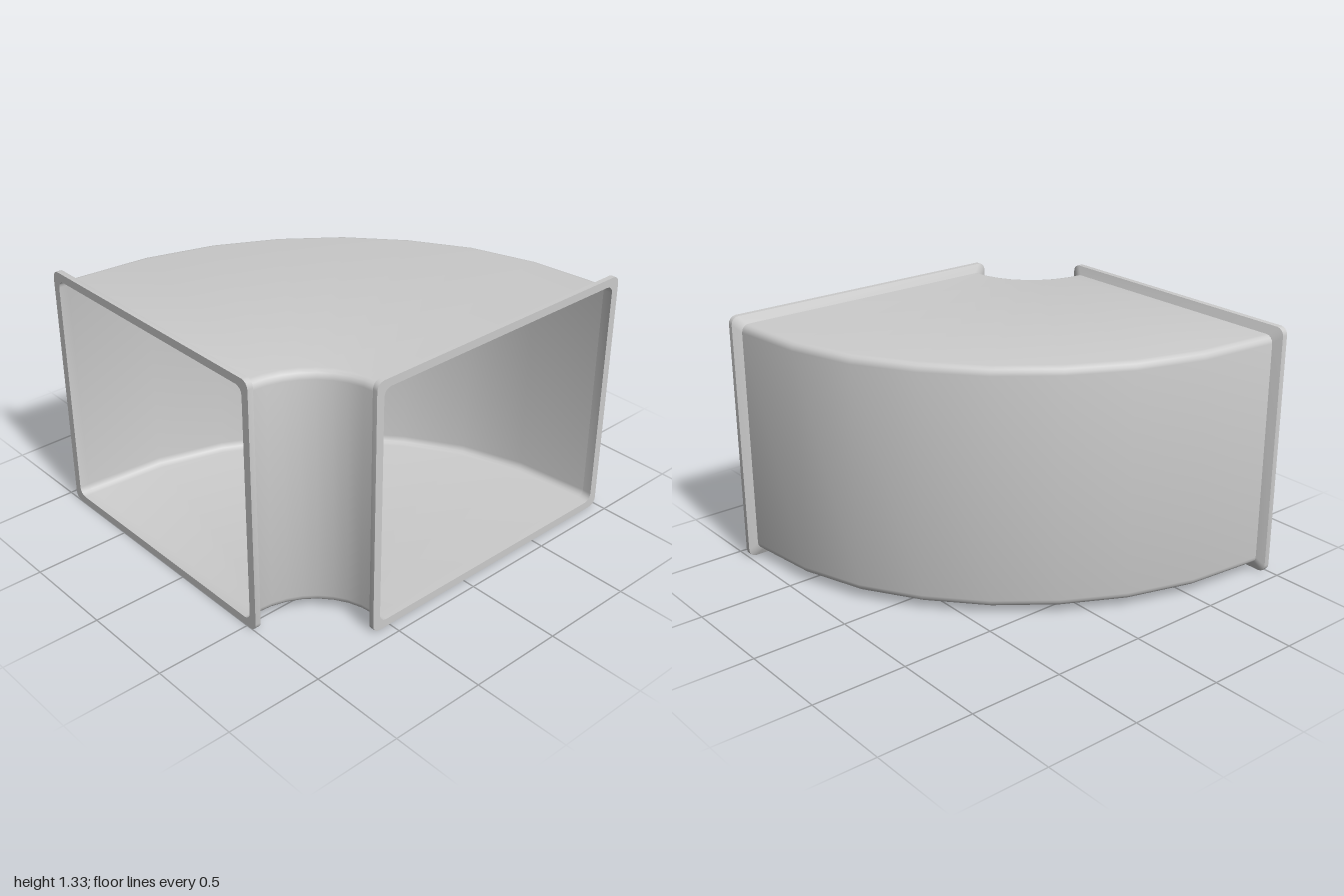
import * as THREE from 'three';
import { toCreasedNormals } from 'three/addons/utils/BufferGeometryUtils.js';

const Y0 = 0.042, Y1 = 1.283; // duct floor and ceiling
const R = 0.04, CORNER = 4;   // corner radius and segments
const LIP = 0.042;            // how far the flange stands out

// Rounded rectangle standing between two plan points [x, z], enlarged by grow
function ring([ax, az], [bx, bz], grow = 0) {
  const len = Math.hypot(bx - ax, bz - az);
  const dx = (bx - ax) / len, dz = (bz - az) / len;
  const centres = [
    [len + grow - R, Y1 + grow - R], [R - grow, Y1 + grow - R],
    [R - grow, Y0 - grow + R], [len + grow - R, Y0 - grow + R],
  ];
  const points = [];
  centres.forEach(([u, y], c) => {
    for (let k = 0; k <= CORNER; k++) {
      const a = (c + k / CORNER) * Math.PI / 2;
      const s = u + R * Math.cos(a);
      points.push([ax + dx * s, y + R * Math.sin(a), az + dz * s]);
    }
  });
  return points;
}

// Skin a row of rings
function loft(name, rings) {
  const n = rings[0].length, index = [];
  for (let i = 0; i < rings.length - 1; i++) {
    for (let j = 0; j < n; j++) {
      const a = i * n + j, a1 = i * n + (j + 1) % n;
      index.push(a, a1, a1 + n, a, a1 + n, a + n);
    }
  }
  const geo = new THREE.BufferGeometry();
  geo.setAttribute('position', new THREE.Float32BufferAttribute(rings.flat(2), 3));
  geo.setIndex(index);
  const mesh = new THREE.Mesh(
    toCreasedNormals(geo, 0.6),
    new THREE.MeshStandardMaterial({ color: 0xcccccc, side: THREE.DoubleSide })
  );
  mesh.name = name;
  return mesh;
}

export function createModel() {
  const group = new THREE.Group();
  group.name = 'ductElbow';

  // Curved duct: faceted outer sweep, elliptical inner sweep
  const outer = [
    [-0.945, -0.897], [-0.52, -0.86], [-0.17, -0.757], [0.136, -0.596], [0.404, -0.388],
    [0.63, -0.13], [0.805, 0.158], [0.912, 0.489], [0.955, 0.885],
  ];
  const inner = outer.map((_, i) => {
    const t = i / (outer.length - 1) * Math.PI / 2;
    return [-0.945 + 0.383 * Math.sin(t), 0.885 - 0.363 * Math.cos(t)];
  });
  group.add(loft('ductBody', outer.map((p, i) => ring(inner[i], p))));

  // Side flange: opening, face, rim, taper back to the duct
  const sideProfile = [[-0.945, 0], [-1, 0], [-1, LIP], [-0.97, LIP], [-0.945, 0]];
  group.add(loft('sideFlange', sideProfile.map(([x, g]) => ring([x, 0.522], [x, -0.897], g))));

  // Front flange
  const frontProfile = [[0.885, 0], [0.908, LIP], [0.935, LIP], [0.935, 0], [0.885, 0]];
  group.add(loft('frontFlange', frontProfile.map(([z, g]) => ring([-0.562, z], [0.955, z], g))));

  return group;
}
